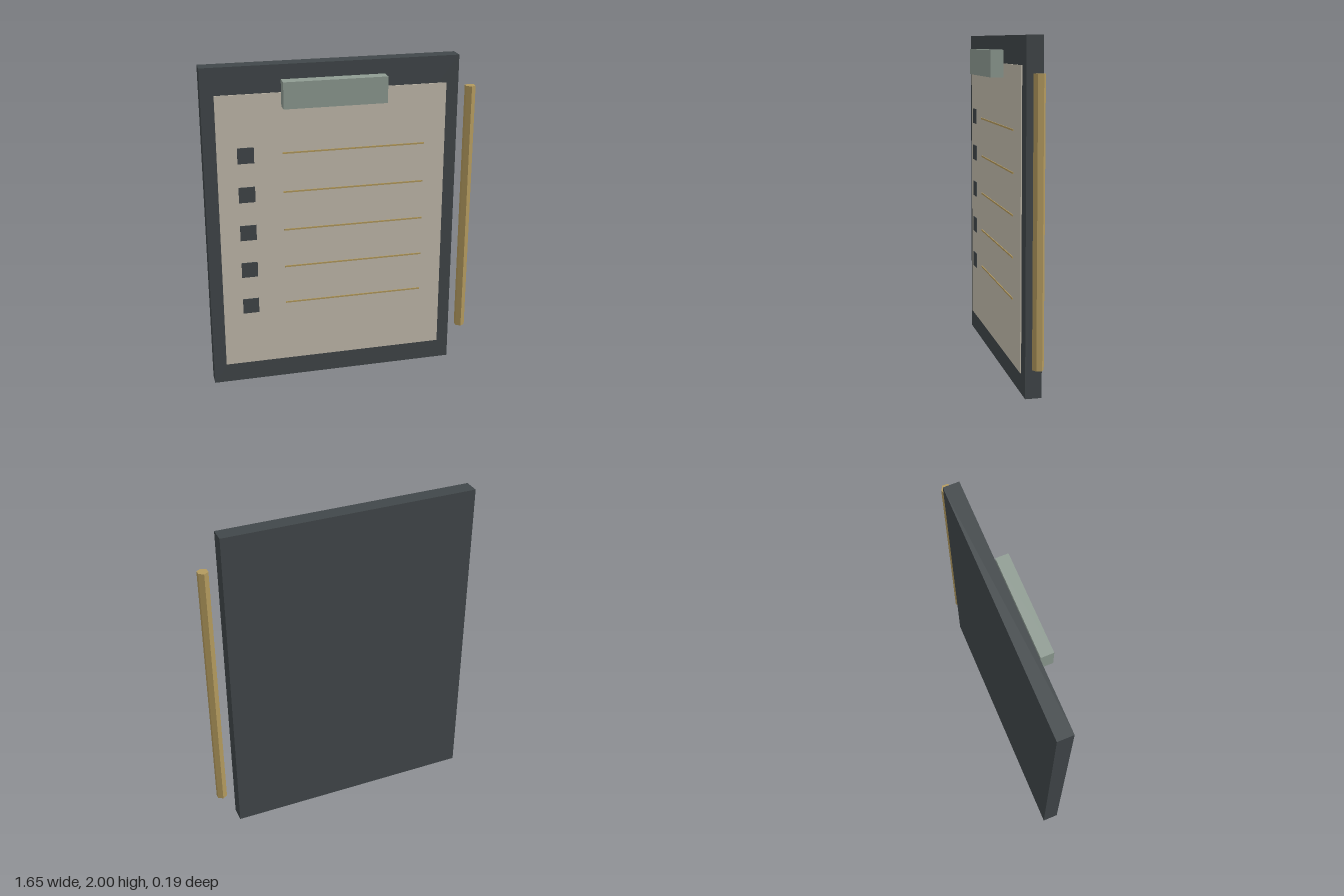
import * as THREE from 'three';

export function createModel() {
  const model = new THREE.Group();
  model.name = 'clipboard';

  const material = (name, color) => {
    const m = new THREE.MeshStandardMaterial({ color });
    m.name = name;
    return m;
  };
  const slate = material('slate', 0x41474a);
  const paper = material('paper', 0xc4bdae);
  const steel = material('steel', 0x8f9c93);
  const brass = material('brass', 0xb39a5e);

  const add = (name, geometry, mat, x, y, z) => {
    const mesh = new THREE.Mesh(geometry, mat);
    mesh.name = name;
    mesh.position.set(x, y, z);
    model.add(mesh);
  };
  const box = (name, w, h, d, mat, x, y, z) =>
    add(name, new THREE.BoxGeometry(w, h, d), mat, x, y, z);

  // Backing board, sheet and clip share one centre line
  const cx = -0.0615;
  box('board', 1.525, 2, 0.095, slate, cx, 1, -0.0475);
  box('sheet', 1.372, 1.714, 0.006, paper, cx, 0.983, 0.007);
  box('clip', 0.61, 0.156, 0.076, steel, cx, 1.84, 0.057);

  // Checklist rows: a square box and a ruled line
  for (let i = 0; i < 5; i++) {
    const y = 1.482 - i * 0.24;
    box('checkBox', 0.097, 0.095, 0.005, slate, -0.582, y, 0.0225);
    box('ruledLine', 0.857, 0.0095, 0.005, brass, 0.062, y, 0.0225);
  }

  // Hexagonal pencil standing beside the board
  const pencil = new THREE.CylinderGeometry(0.033, 0.033, 1.602, 6).toNonIndexed();
  pencil.computeVertexNormals();
  add('pencil', pencil, brass, 0.795, 0.999, -0.0475);

  return model;
}
